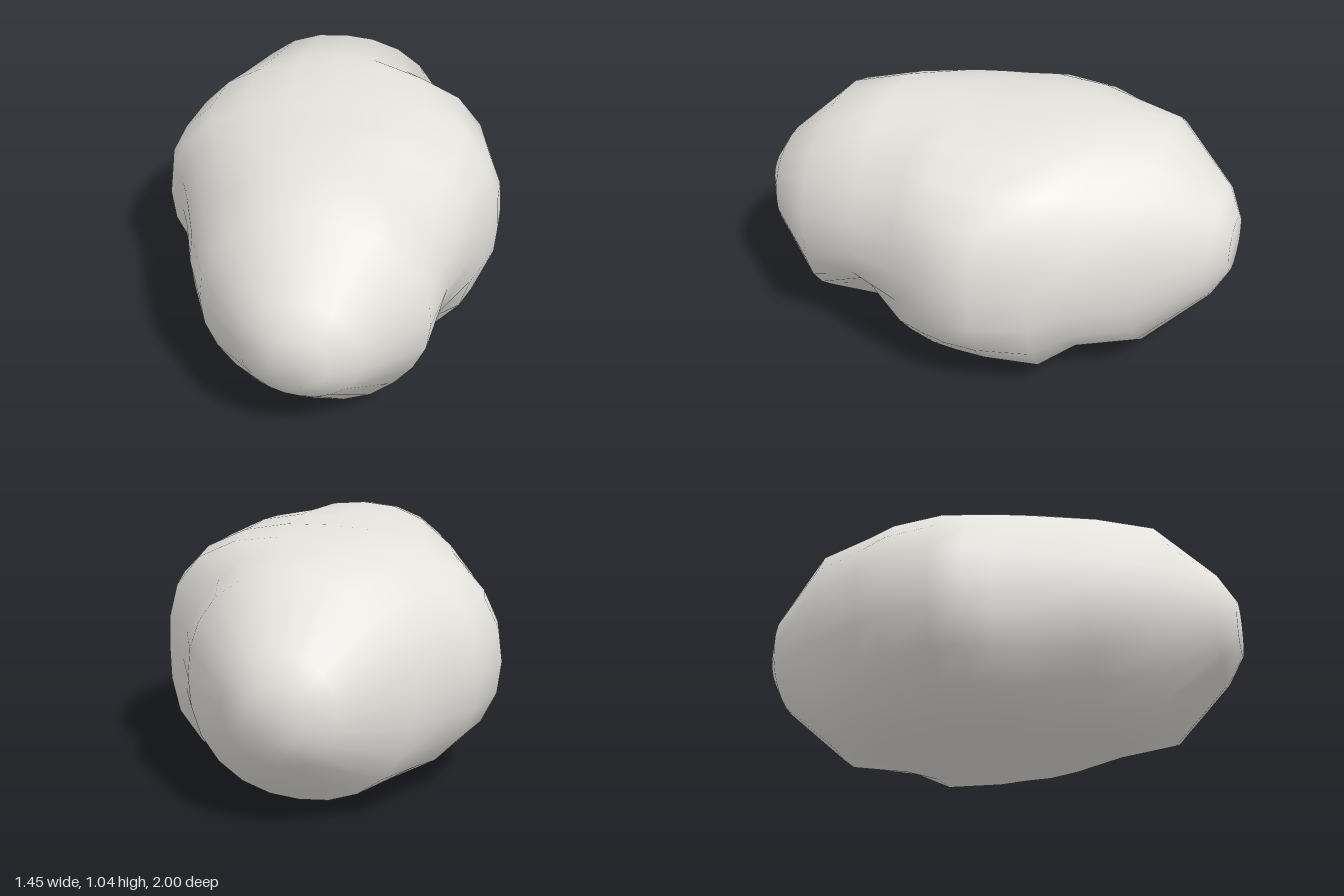
import * as THREE from 'three';

// Cross-sections along the boulder:
// z, left x, right x, bottom y, top y, squareness on the -x side, squareness on the +x side
const SECTIONS = [
  [-1.0, -0.17, 0.06, 0.40, 0.63, 2.1, 2.1],
  [-0.94, -0.29, 0.17, 0.29, 0.74, 2.1, 2.1],
  [-0.69, -0.51, 0.41, 0.06, 0.98, 2.2, 2.25],
  [-0.46, -0.62, 0.53, 0.03, 1.01, 2.2, 2.3],
  [-0.34, -0.69, 0.64, 0.01, 1.03, 2.2, 3.0],
  [-0.12, -0.73, 0.72, 0.0, 1.04, 2.2, 2.5],
  [0.0, -0.70, 0.72, 0.01, 1.03, 2.25, 2.5],
  [0.11, -0.62, 0.68, 0.015, 1.03, 2.5, 2.7],
  [0.23, -0.57, 0.64, 0.02, 1.025, 2.6, 2.85],
  [0.46, -0.50, 0.56, 0.02, 1.02, 2.35, 2.2],
  [0.69, -0.40, 0.52, 0.06, 0.97, 2.2, 2.2],
  [0.93, -0.19, 0.29, 0.29, 0.74, 2.1, 2.1],
  [1.0, -0.06, 0.17, 0.40, 0.63, 2.1, 2.1],
];
// Hollows: x, y, z, radius, depth
const DENTS = [
  [0.44, 0.18, 0.46, 0.18, 0.22],
  [-0.36, 0.17, 0.52, 0.18, 0.09],
  [-0.36, 0.85, 0.5, 0.18, 0.07],
  [0.42, 0.85, 0.4, 0.18, 0.08],
  [0.43, 0.8, -0.48, 0.15, 0.06],
];
const SIDES = 24;

function boulderGeometry() {
  const positions = [];
  const index = [];
  for (const [z, x0, x1, y0, y1, nLeft, nRight] of SECTIONS) {
    const cx = (x0 + x1) / 2, cy = (y0 + y1) / 2;
    for (let j = 0; j < SIDES; j++) {
      const t = (j / SIDES) * Math.PI * 2;
      const c = Math.cos(t), s = Math.sin(t);
      const n = c < 0 ? nLeft : nRight;
      const r = 1 / Math.pow(Math.abs(c) ** n + Math.abs(s) ** n, 1 / n);
      const x = cx + (c * r * (x1 - x0)) / 2;
      const y = cy + (s * r * (y1 - y0)) / 2;
      // Pull the skin inward at the hollows
      let k = 1;
      for (const [dx, dy, dz, radius, depth] of DENTS) {
        const d2 = (x - dx) ** 2 + (y - dy) ** 2 + (z - dz) ** 2;
        k -= depth * Math.exp(-d2 / (radius * radius));
      }
      positions.push(cx + (x - cx) * k, cy + (y - cy) * k, z);
    }
  }
  const last = SECTIONS.length - 1;
  for (let i = 0; i < last; i++) {
    for (let j = 0; j < SIDES; j++) {
      const a = i * SIDES + j, b = i * SIDES + ((j + 1) % SIDES);
      index.push(a, b, a + SIDES, b, b + SIDES, a + SIDES);
    }
  }
  // Close both ends with fans
  for (const i of [0, last]) {
    const [z, x0, x1, y0, y1] = SECTIONS[i];
    const centre = positions.length / 3;
    positions.push((x0 + x1) / 2, (y0 + y1) / 2, z);
    for (let j = 0; j < SIDES; j++) {
      const a = i * SIDES + j, b = i * SIDES + ((j + 1) % SIDES);
      if (i === 0) index.push(centre, b, a);
      else index.push(centre, a, b);
    }
  }
  const geometry = new THREE.BufferGeometry();
  geometry.setAttribute('position', new THREE.Float32BufferAttribute(positions, 3));
  geometry.setIndex(index);
  geometry.computeVertexNormals();
  return geometry;
}

export function createModel() {
  const group = new THREE.Group();
  group.name = 'rock';
  const stone = new THREE.MeshStandardMaterial({ color: 0xe5e3de });
  stone.name = 'pale stone grey';
  const boulder = new THREE.Mesh(boulderGeometry(), stone);
  boulder.name = 'boulder';
  group.add(boulder);
  return group;
}
